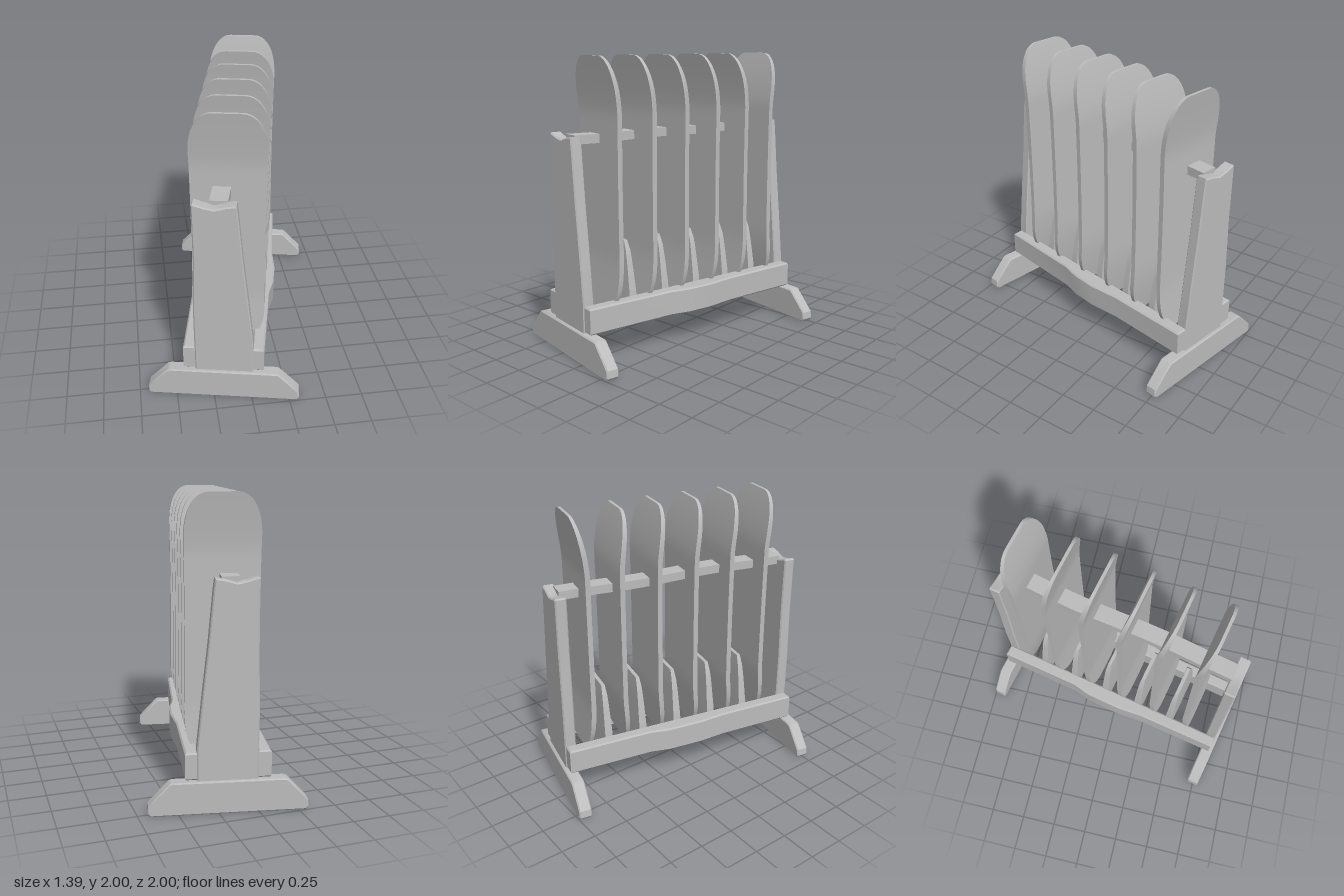
import * as THREE from 'three';
import { toCreasedNormals } from 'three/addons/utils/BufferGeometryUtils.js';

const wood = new THREE.MeshStandardMaterial({ color: 0xbcbcbc });
wood.name = 'plain grey';

function add(parent, name, geometry, x = 0, y = 0, z = 0) {
  const mesh = new THREE.Mesh(geometry, wood);
  mesh.name = name;
  mesh.position.set(x, y, z);
  parent.add(mesh);
  return mesh;
}

// Chamfered timber cut from an outline, centred on its thickness
function timber(points, depth, bevel = 0.01) {
  const shape = new THREE.Shape(points.map(([x, y]) => new THREE.Vector2(x, y)));
  const geo = new THREE.ExtrudeGeometry(shape, {
    depth: depth - 2 * bevel, bevelThickness: bevel, bevelSize: bevel,
    bevelOffset: -bevel, bevelSegments: 1,
  });
  geo.translate(0, 0, bevel - depth / 2);
  return toCreasedNormals(geo, 0.5);
}

// Box whose vertices are moved by a rule
function shaped(size, segments, rule) {
  const geo = new THREE.BoxGeometry(...size, ...segments);
  const pos = geo.attributes.position;
  const v = new THREE.Vector3();
  for (let i = 0; i < pos.count; i++) {
    rule(v.fromBufferAttribute(pos, i));
    pos.setXYZ(i, v.x, v.y, v.z);
  }
  geo.computeVertexNormals();
  return geo;
}

// Board with rounded, upturned ends and a slight waist
function boardGeometry(flip) {
  const low = 0.3, high = 2.0, mid = (low + high) / 2, half = (high - low) / 2;
  const round = 0.3;
  return shaped([2, 2, 0.034], [6, 48, 1], (v) => {
    const s = Math.sin(v.y * Math.PI / 2); // rows crowd toward the ends
    const y = mid + s * half;
    const fromEnd = Math.min(y - low, high - y);
    const e = Math.max(0, 1 - fromEnd / round);
    const waist = 0.238 + 0.012 * s * s;
    const width = 0.09 + (waist - 0.09) * Math.sqrt(Math.max(0, 1 - e ** 2.3));
    const curl = (s > 0 ? 0.055 : 0.03) * Math.max(0, 1 - fromEnd / 0.38) ** 1.4;
    // the rounded tip is a little thinner than the body
    v.set(v.x * width, y, flip * curl + v.z * (1 - 0.4 * e * e));
  });
}

export function createModel() {
  const model = new THREE.Group();
  model.name = 'boardRack';
  const rack = new THREE.Group();
  rack.name = 'rack';
  rack.rotation.y = -0.21;
  model.add(rack);

  // Feet and end posts
  const foot = timber([
    [-0.515, 0.02], [-0.5, 0], [0.5, 0], [0.515, 0.02], [0.51, 0.07],
    [0.375, 0.21], [0.36, 0.217], [-0.36, 0.217], [-0.38, 0.21], [-0.51, 0.07],
  ], 0.088, 0.008);
  const post = timber([
    [-0.19, 0.2], [0.2, 0.2], [0.2, 0.42], [0.165, 0.75], [0.125, 1.1],
    [0.095, 1.42], [0.085, 1.495], [0.02, 1.485], [-0.05, 1.465],
    [-0.12, 1.48], [-0.18, 1.5], [-0.19, 1.49], [-0.185, 1.1], [-0.195, 0.7],
  ], 0.08, 0.008);
  for (const [end, side] of [['front', 1], ['back', -1]]) {
    add(rack, end + 'Foot', foot, 0, 0, side * 0.87);
    add(rack, end + 'Post', post, 0, 0, side * 0.852);
  }

  // Lower side rails, bulging outward at the middle
  const rails = [
    ['leftRail', 1, [[0.285, -0.3], [0.312, -0.08], [0.308, 0.1], [0.28, 0.24]]],
    ['rightRail', -1, [[0.272, -0.28], [0.298, -0.14], [0.298, 0.12], [0.278, 0.3]]],
  ];
  for (const [name, side, bulge] of rails) {
    const outline = [[0.19, -0.885], [0.275, -0.885], ...bulge, [0.27, 0.885], [0.19, 0.885]]
      .map(([x, z]) => [side * x, -z]);
    const geo = timber(outline, 0.18);
    geo.rotateX(-Math.PI / 2);
    add(rack, name, geo, 0, 0.31, 0);
  }

  // Upper bar joining the posts
  add(rack, 'upperBar', shaped([0.115, 0.06, 1.66], [1, 1, 10], (v) => {
    v.x += 0.006 * Math.sin(v.z * 5);
    v.y += 0.004 * Math.sin(v.z * 7);
  }), -0.022, 1.467, 0);

  // Tapered dividers between the boards
  const divider = shaped([0.4, 0.53, 0.056], [4, 8, 1], (v) => {
    const t = Math.max(0, (v.y + 0.105) / 0.37);
    v.x *= 1 - 0.32 * t - 0.12 * t ** 8;
    v.z *= 1 - 0.4 * t - 0.15 * t ** 8;
  });
  for (const z of [0.505, 0.235, -0.04, -0.31, -0.57]) {
    add(rack, 'divider', divider, 0, 0.505, z);
  }

  // Row of boards; the last one faces the other way
  const facing = boardGeometry(1);
  const reversed = boardGeometry(-1);
  [0.63, 0.36, 0.09, -0.18, -0.445, -0.68].forEach((z, i) => {
    add(rack, 'board', i === 5 ? reversed : facing, 0.016, 0, z);
  });

  return model;
}
